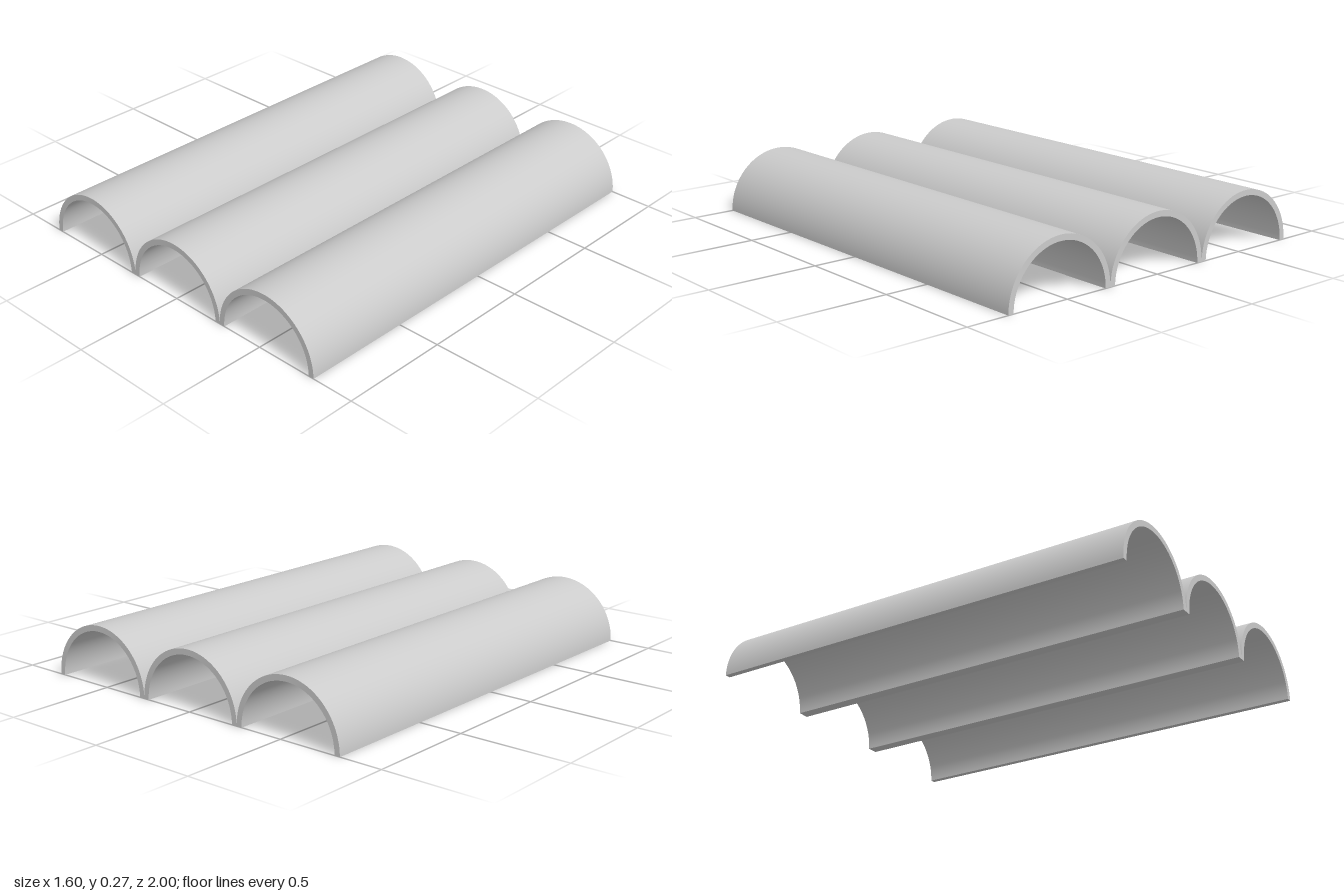
import * as THREE from 'three';
import { toCreasedNormals } from 'three/addons/utils/BufferGeometryUtils.js';

const OUTER = 0.267, INNER = 0.241, LENGTH = 2;

export function createModel() {
  const model = new THREE.Group();
  model.name = 'barrelRoof';
  const material = new THREE.MeshStandardMaterial({ color: 0xcccccc });

  // Half-ring cross-section, standing on its two straight edges
  const section = new THREE.Shape();
  section.absarc(0, 0, OUTER, 0, Math.PI, false);
  section.absarc(0, 0, INNER, Math.PI, 0, true);
  section.closePath();

  // Extruded along z, smooth on the curve and sharp at the rims
  const extruded = new THREE.ExtrudeGeometry(section, {
    depth: LENGTH, bevelEnabled: false, curveSegments: 32,
  });
  extruded.translate(0, 0, -LENGTH / 2);
  const geometry = toCreasedNormals(extruded, Math.PI / 5);

  // Three vaults side by side, touching along their lower edges
  ['rightVault', 'middleVault', 'leftVault'].forEach((name, i) => {
    const vault = new THREE.Mesh(geometry, material);
    vault.name = name;
    vault.position.x = (i - 1) * OUTER * 2;
    model.add(vault);
  });
  return model;
}
